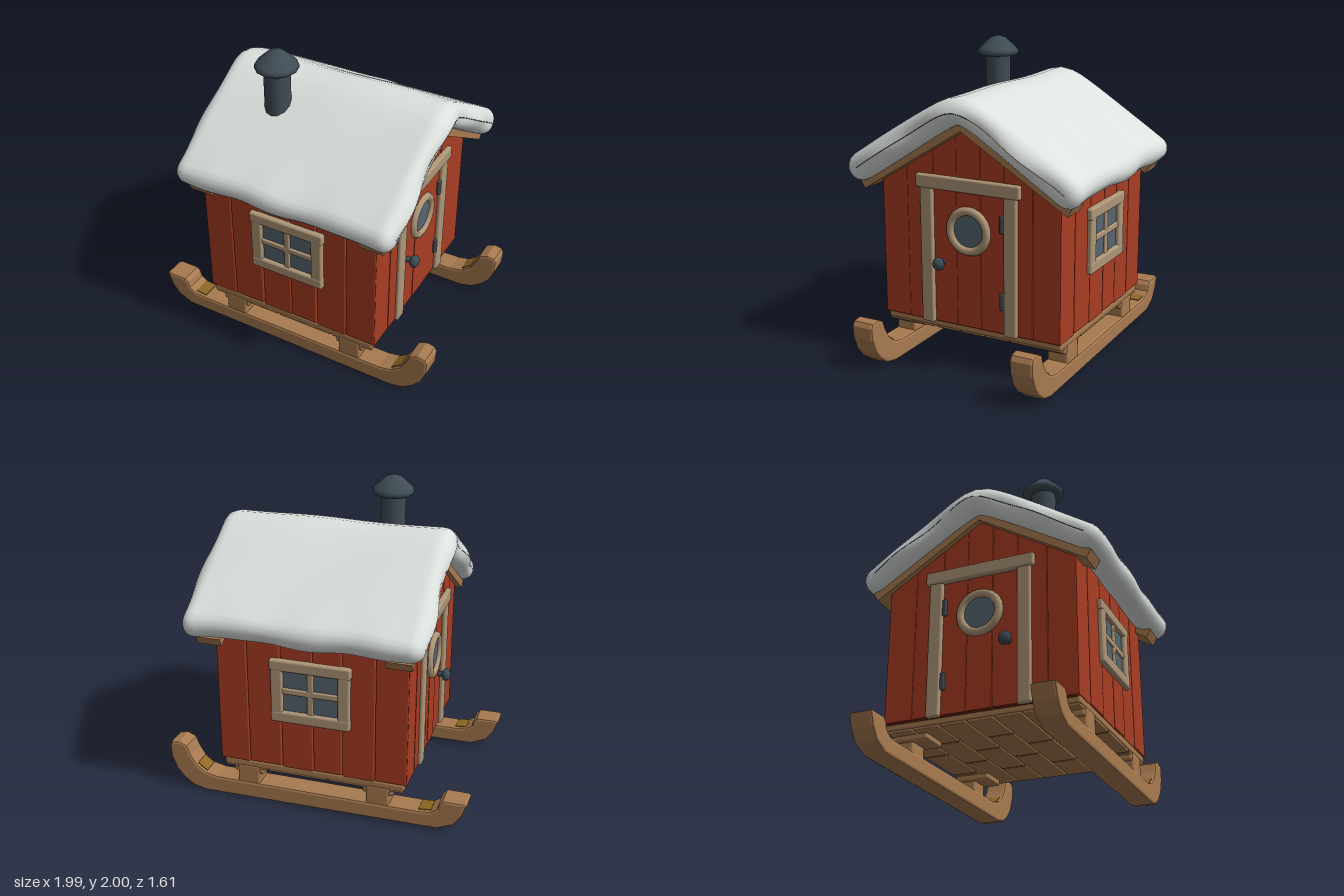
import * as THREE from 'three';
import { RoundedBoxGeometry } from 'three/addons/geometries/RoundedBoxGeometry.js';

const mat = (name, color, opts = {}) => {
  const m = new THREE.MeshStandardMaterial({ color, ...opts });
  m.name = name;
  return m;
};
const M = {
  red: mat('red boards', 0xa83c22),
  seam: mat('dark seams', 0x5f2113),
  trim: mat('pale trim', 0xae9678),
  wood: mat('sled wood', 0xa87a50),
  amber: mat('amber wood', 0x8f6824),
  metal: mat('dark metal', 0x3f4c54),
  glass: mat('window glass', 0x566670),
  snow: mat('snow', 0xdce1de),
};

function add(parent, name, geo, material, x = 0, y = 0, z = 0) {
  const mesh = new THREE.Mesh(geo, material);
  mesh.name = name;
  mesh.position.set(x, y, z);
  parent.add(mesh);
  return mesh;
}
// Softened box given by its size and centre
function box(parent, name, material, w, h, d, x, y, z) {
  const r = Math.min(0.014, w / 3, h / 3, d / 3);
  return add(parent, name, new RoundedBoxGeometry(w, h, d, 2, r), material, x, y, z);
}
function plate(points, depth, bevel = 0) {
  const shape = new THREE.Shape(points.map(p => new THREE.Vector2(p[0], p[1])));
  return new THREE.ExtrudeGeometry(shape, {
    depth, bevelEnabled: bevel > 0, bevelSize: bevel, bevelThickness: bevel, bevelOffset: -bevel, bevelSegments: 2,
  });
}
const gableY = u => 1.585 - 0.6 * Math.abs(u);

// Vertical board with a top that follows the roof slope
function gableBoard(u0, u1, y0, depth) {
  const pts = [[u0, y0], [u1, y0], [u1, gableY(u1)]];
  if (u0 < 0 && u1 > 0) pts.push([0, gableY(0)]);
  pts.push([u0, gableY(u0)]);
  return plate(pts, depth);
}

// Long wall with boards and a four-pane window; local +z points outwards
function longWall(root, name, angle) {
  const g = new THREE.Group();
  g.name = name;
  g.rotation.y = angle;
  root.add(g);
  const edges = [-0.62, -0.42, -0.2, 0.01, 0.2, 0.41, 0.62];
  for (let i = 0; i < 6; i++) {
    const w = edges[i + 1] - edges[i] - 0.003, y0 = 0.275 + 0.008 * (i % 2);
    box(g, 'wallBoard', M.red, w, 1.21 - y0, 0.03, (edges[i] + edges[i + 1]) / 2, (1.21 + y0) / 2, 0.612 + 0.003 * (i % 2));
  }
  box(g, 'windowGlass', M.glass, 0.4, 0.32, 0.008, 0, 0.83, 0.632);
  for (const s of [-1, 1]) {
    box(g, 'windowSide', M.trim, 0.078, 0.4, 0.045, s * 0.217, 0.83, 0.638);
    box(g, 'windowRail', M.trim, s > 0 ? 0.525 : 0.515, 0.075, 0.05, 0, 0.83 + s * 0.175, 0.638);
  }
  box(g, 'windowUpright', M.trim, 0.04, 0.3, 0.024, 0, 0.83, 0.638);
  box(g, 'windowCrossbar', M.trim, 0.37, 0.04, 0.024, 0, 0.83, 0.639);
}

// Gable wall with boards, door, porthole, knob and hinges
function gableWall(root, name, side) {
  const g = new THREE.Group();
  g.name = name;
  g.rotation.y = side * Math.PI / 2;
  root.add(g);
  const edges = [-0.627, -0.44, -0.25, -0.085, 0.085, 0.25, 0.44, 0.627];
  for (let i = 0; i < 7; i++) {
    add(g, 'gableBoard', gableBoard(edges[i] + 0.002, edges[i + 1] - 0.002, 0.28, 0.015), M.red, 0, 0, 0.603 + 0.002 * (i % 2));
  }
  for (const s of [-1, 1]) box(g, 'doorPost', M.trim, 0.09, 0.9, 0.04, s * 0.295, 0.72, 0.622);
  box(g, 'doorLintel', M.trim, 0.73, 0.088, 0.05, 0, 1.193, 0.625);
  add(g, 'portholeRing', new THREE.TorusGeometry(0.128, 0.028, 8, 24), M.trim, 0, 0.905, 0.622);
  add(g, 'portholeGlass', new THREE.CircleGeometry(0.12, 24), M.glass, 0, 0.905, 0.626);
  const stem = add(g, 'knobStem', new THREE.CylinderGeometry(0.02, 0.02, 0.05, 8), M.metal, -side * 0.19, 0.68, 0.635);
  stem.rotation.x = Math.PI / 2;
  const knob = add(g, 'doorKnob', new THREE.SphereGeometry(0.043, 8, 6), M.metal, -side * 0.19, 0.68, 0.672);
  knob.scale.z = 0.75;
  for (const y of [0.49, 0.98]) box(g, 'hinge', M.metal, 0.03, 0.11, 0.025, side * 0.236, y, 0.627);
}

// Thick blanket of snow: rounded bent sections swept along x
function snowGeometry() {
  const spine = z => 1.715 - 0.64 * Math.hypot(z, 0.08);
  const rings = [];
  for (let i = 0; i <= 6; i++) rings.push([-0.645 - 0.09 * Math.cos(i * Math.PI / 12), Math.sin(i * Math.PI / 12)]);
  for (let i = 1; i < 36; i++) rings.push([-0.645 + i * 1.36 / 36, 1]);
  for (let i = 6; i >= 0; i--) rings.push([0.7 + 0.09 * Math.cos(i * Math.PI / 12), Math.sin(i * Math.PI / 12)]);
  const n = 28, c = 8, per = 2 * (n + c), pos = [], idx = [];
  for (const [x, k] of rings) {
    const reach = 0.708 + 0.007 * Math.sin(9 * x + 1);
    for (let j = 0; j < per; j++) {
      // upper face, eave cap, lower face, opposite cap
      let s, turn;
      if (j < n) { s = -1 + 2 * j / n; turn = 0; }
      else if (j < n + c) { s = 1; turn = (j - n) / c * Math.PI; }
      else if (j < 2 * n + c) { s = 1 - 2 * (j - n - c) / n; turn = Math.PI; }
      else { s = -1; turn = Math.PI * (1 + (j - 2 * n - c) / c); }
      const z = s * reach, slope = -0.64 * z / Math.hypot(z, 0.08);
      const a = Math.atan2(1, -slope) - turn;
      const lump = 1 + 0.05 * Math.sin(7 * x + 5 * z) + 0.05 * Math.sin(14.5 * x + 2) * Math.abs(s) ** 6;
      const r = Math.max(0.001, 0.089 * k * lump);
      const edge = (1 - k) * 0.016 * Math.sin(13 * z + x);
      pos.push(x + edge, spine(z) + r * Math.sin(a), z + r * Math.cos(a));
    }
  }
  for (let i = 0; i < rings.length - 1; i++) for (let j = 0; j < per; j++) {
    const a = i * per + j, d = i * per + (j + 1) % per;
    idx.push(a, d, a + per, d, d + per, a + per);
  }
  const geo = new THREE.BufferGeometry();
  geo.setAttribute('position', new THREE.Float32BufferAttribute(pos, 3));
  geo.setIndex(idx);
  geo.computeVertexNormals();
  return geo;
}

export function createModel() {
  const root = new THREE.Group();
  root.name = 'sledCabin';

  // Cabin body behind the boards
  const core = gableBoard(-0.61, 0.61, 0.27, 1.21);
  core.translate(0, 0, -0.605).rotateY(Math.PI / 2);
  add(root, 'cabinCore', core, M.seam);
  longWall(root, 'frontWall', 0);
  longWall(root, 'backWall', Math.PI);
  gableWall(root, 'leftDoorWall', 1);
  gableWall(root, 'rightDoorWall', -1);

  // Roof: boards along the gable edges, snow on top
  for (const x of [-0.655, 0.545]) for (const s of [-1, 1]) {
    const pts = [[0, 1.6], [s * 0.735, 1.165], [s * 0.705, 1.11], [0, 1.54]];
    add(root, 'gableTrim', plate(pts, 0.16).rotateY(Math.PI / 2), M.wood, x);
  }
  add(root, 'roofSnow', snowGeometry(), M.snow);

  // Chimney
  add(root, 'chimneyPipe', new THREE.CylinderGeometry(0.083, 0.083, 0.42, 12), M.metal, -0.26, 1.69, 0.28);
  const cap = [[0, 1.875], [0.12, 1.868], [0.136, 1.88], [0.136, 1.9], [0.125, 1.915], [0.05, 1.985], [0, 2]];
  add(root, 'chimneyCap', new THREE.LatheGeometry(cap.map(p => new THREE.Vector2(...p)), 12), M.metal, -0.26, 0, 0.28);

  // Floor: slab with staggered planks below
  box(root, 'floorSlab', M.wood, 1.2, 0.05, 1.25, 0, 0.257, 0);
  for (let r = 0; r < 7; r++) {
    const cuts = r % 2 ? [-0.6, -0.3, 0.1, 0.6] : [-0.6, -0.1, 0.3, 0.6];
    for (let i = 0; i < 3; i++) {
      box(root, 'floorPlank', M.wood, cuts[i + 1] - cuts[i] - 0.008, 0.02, 0.17, (cuts[i] + cuts[i + 1]) / 2, 0.23, (r - 3) * 0.178);
    }
  }

  // Runners with posts
  const runner = [[-0.82, 0.015], [-0.92, 0.06], [-0.97, 0.13], [-1, 0.215], [-0.985, 0.225], [-0.85, 0.225], [-0.825, 0.2],
    [-0.815, 0.16], [-0.77, 0.13], [-0.7, 0.123], [0.66, 0.123], [0.74, 0.14], [0.8, 0.185], [0.84, 0.25], [0.865, 0.315],
    [0.92, 0.34], [0.975, 0.33], [0.99, 0.3], [0.985, 0.22], [0.95, 0.13], [0.9, 0.07], [0.83, 0.02], [0.74, 0]];
  for (const s of [-1, 1]) {
    const z = s * 0.557;
    add(root, 'runner', plate(runner, 0.12, 0.017), M.wood, 0, 0, z - 0.06);
    for (const x of [-0.43, 0.435]) {
      box(root, 'runnerPost', M.wood, 0.15, 0.14, 0.14, x, 0.175, z);
      box(root, 'postBracket', M.wood, 0.2, 0.045, 0.24, x, 0.207, s * 0.5);
    }
    box(root, 'runnerInlay', M.amber, 0.08, 0.008, 0.11, -0.735, 0.129, z).rotation.z = -0.1;
    box(root, 'runnerInlay', M.amber, 0.08, 0.008, 0.11, 0.77, 0.165, z).rotation.z = 0.64;
  }
  return root;
}
